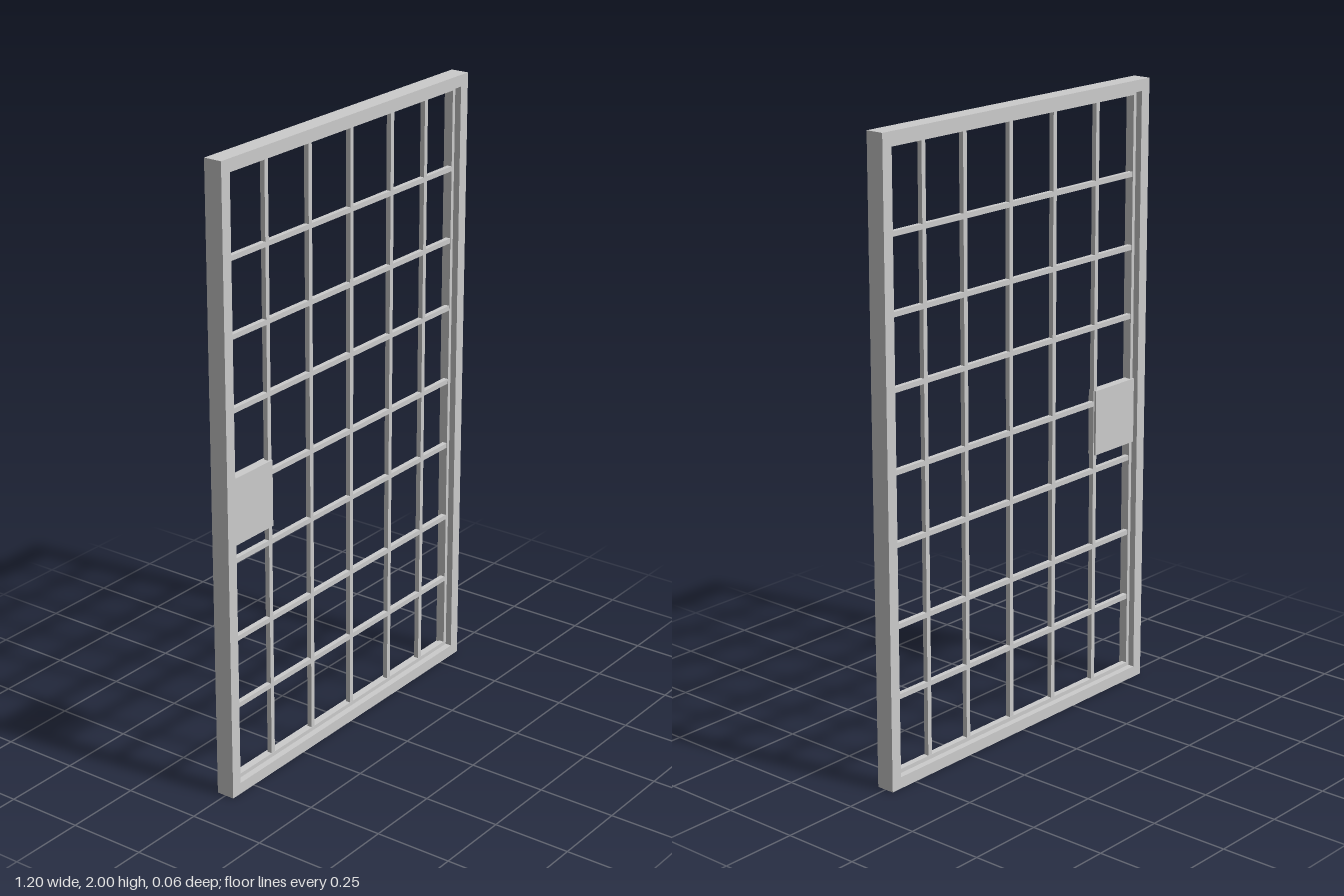
import * as THREE from 'three';

const material = new THREE.MeshStandardMaterial({ color: 0xcccccc, flatShading: true });

// Rectangular ring standing on the xy plane, centred in depth
function ring(name, halfW, y0, y1, border, depth) {
  const rect = (target, w, a, b) => {
    target.moveTo(-w, a);
    target.lineTo(w, a);
    target.lineTo(w, b);
    target.lineTo(-w, b);
    target.closePath();
    return target;
  };
  const shape = rect(new THREE.Shape(), halfW, y0, y1);
  shape.holes.push(rect(new THREE.Path(), halfW - border, y0 + border, y1 - border));
  const geometry = new THREE.ExtrudeGeometry(shape, { depth, bevelEnabled: false });
  geometry.translate(0, 0, -depth / 2);
  const mesh = new THREE.Mesh(geometry, material);
  mesh.name = name;
  return mesh;
}

function box(name, w, h, d, x, y) {
  const mesh = new THREE.Mesh(new THREE.BoxGeometry(w, h, d), material);
  mesh.position.set(x, y, 0);
  mesh.name = name;
  return mesh;
}

export function createModel() {
  const gate = new THREE.Group();
  gate.name = 'barredGate';

  // Deep outer frame and the thinner door frame inside it
  gate.add(ring('outerFrame', 0.6, 0, 2, 0.037, 0.06));
  gate.add(ring('doorFrame', 0.563, 0.037, 1.963, 0.013, 0.018));

  // Unevenly spaced grid of bars
  const bar = 0.016;
  const grid = new THREE.Group();
  grid.name = 'bars';
  for (const x of [-0.375, -0.172, 0.03, 0.234, 0.41]) {
    grid.add(box('verticalBar', bar, 1.91, bar, x, 1));
  }
  for (const y of [0.285, 0.51, 0.766, 0.99, 1.24, 1.465, 1.7]) {
    grid.add(box('horizontalBar', 1.11, bar, bar, 0, y));
  }
  gate.add(grid);

  // Lock plate between the frame and the first bar
  gate.add(box('lockPlate', 0.193, 0.213, 0.03, -0.467, 0.926));
  return gate;
}
